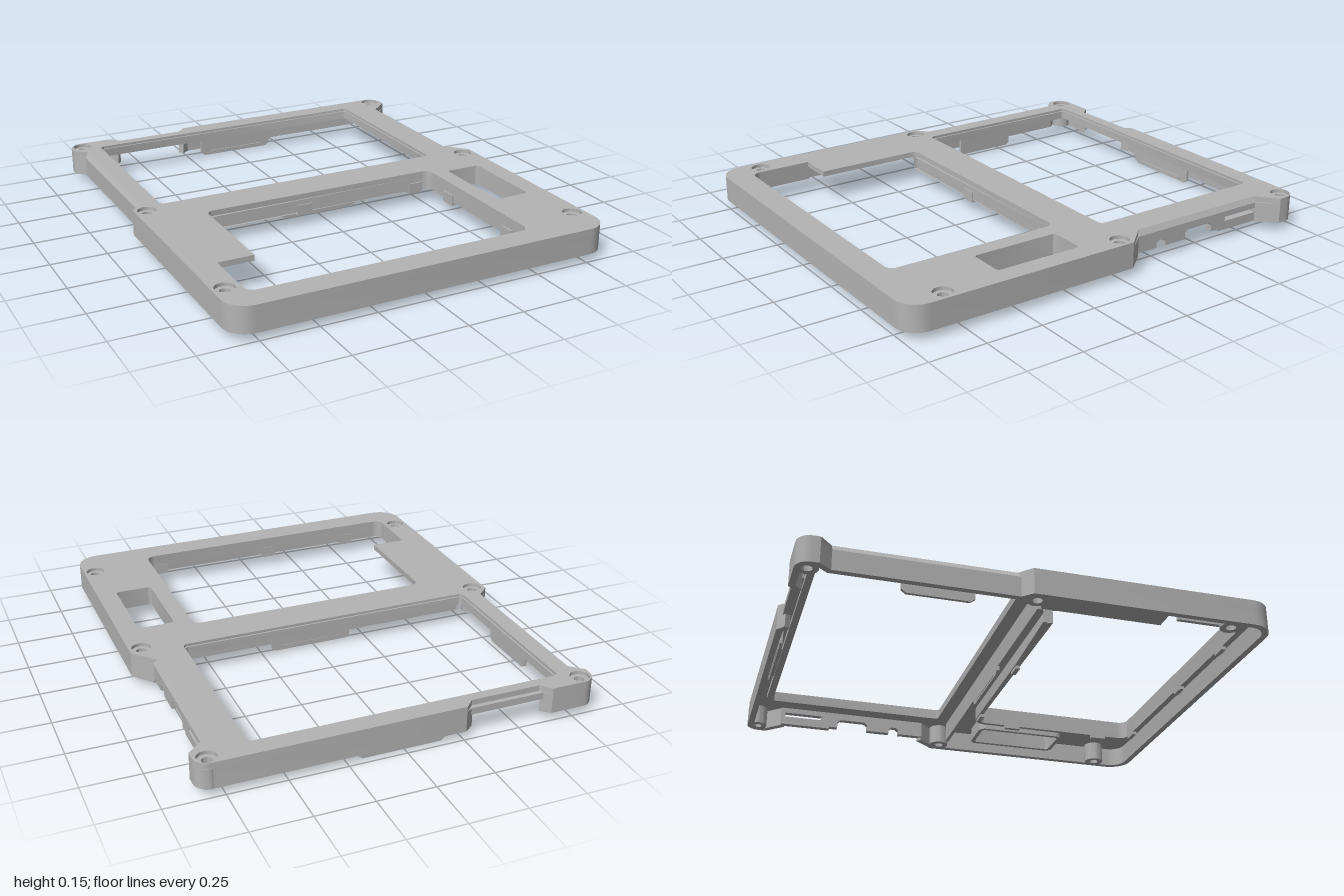
import * as THREE from 'three';
import { toCreasedNormals } from 'three/addons/utils/BufferGeometryUtils.js';

const TOP = 0.15, UNDER = 0.125, BASE = 0.035;

// Trace points [x, z, cornerRadius] as a path with rounded corners
function trace(path, pts, closed = true) {
  const n = pts.length;
  pts.forEach(([x, z, r = 0], i) => {
    const inner = closed || (i > 0 && i < n - 1);
    if (!r || !inner) {
      i ? path.lineTo(x, z) : path.moveTo(x, z);
      return;
    }
    const toward = ([px, pz], s) => {
      const l = Math.hypot(px - x, pz - z);
      return [x + (px - x) / l * s, z + (pz - z) / l * s];
    };
    const prev = pts[(i + n - 1) % n], next = pts[(i + 1) % n];
    const a = toward(prev, r), b = toward(next, r);
    i ? path.lineTo(...a) : path.moveTo(...a);
    path.bezierCurveTo(...toward(prev, r * 0.448), ...toward(next, r * 0.448), ...b);
  });
  path.closePath();
  return path;
}

// Shift a polyline sideways by d (positive = inward for clockwise outlines)
function offset(pts, d, closed) {
  const n = pts.length;
  const dir = (a, b) => {
    const l = Math.hypot(b[0] - a[0], b[1] - a[1]);
    return [(b[0] - a[0]) / l, (b[1] - a[1]) / l];
  };
  return pts.map((p, i) => {
    const hasPrev = closed || i > 0, hasNext = closed || i < n - 1;
    const prev = pts[(i + n - 1) % n], next = pts[(i + 1) % n];
    const u = hasPrev ? dir(prev, p) : dir(p, next);
    const v = hasNext ? dir(p, next) : u;
    const k = d / (1 + u[0] * v[0] + u[1] * v[1]);
    const turn = Math.sign(u[0] * v[1] - u[1] * v[0]);
    const r = p[2] ? Math.max(0, p[2] - turn * d) : 0;
    return [p[0] - (u[1] + v[1]) * k, p[1] + (u[0] + v[0]) * k, r];
  });
}

const rect = (x0, z0, x1, z1, r = 0) => [[x0, z0, r], [x1, z0, r], [x1, z1, r], [x0, z1, r]];

export function createModel() {
  const model = new THREE.Group();
  model.name = 'deviceFrame';
  const grey = new THREE.MeshStandardMaterial({ color: 0xb4b4b4 });
  grey.name = 'grey plastic';

  function add(name, geo, x = 0, y = 0, z = 0) {
    const mesh = new THREE.Mesh(geo, grey);
    mesh.name = name;
    mesh.position.set(x, y, z);
    model.add(mesh);
    return mesh;
  }
  const extrude = (shape, depth) => toCreasedNormals(
    new THREE.ExtrudeGeometry(shape, { depth, bevelEnabled: false, curveSegments: 10 }), 0.6);
  // Horizontal slab between two heights
  const slab = (name, shape, top, bottom) =>
    add(name, extrude(shape, top - bottom).rotateX(Math.PI / 2), 0, top);
  // Closed or open wall following a plan path
  function ring(name, pts, d, top, bottom) {
    const [outer, inner] = d > 0 ? [pts, offset(pts, d, true)] : [offset(pts, d, true), pts];
    const shape = trace(new THREE.Shape(), outer);
    shape.holes.push(trace(new THREE.Path(), inner));
    slab(name, shape, top, bottom);
  }
  function strip(name, pts, d, top, bottom) {
    const all = [...pts, ...offset(pts, d, false).reverse()];
    // path ends carry no radius, so the whole loop can be traced as closed
    slab(name, trace(new THREE.Shape(), all), top, bottom);
  }
  const box = (name, w, h, d, x, y, z) => add(name, new THREE.BoxGeometry(w, h, d), x, y, z);
  // Plate standing in the z-y plane, its outer face at x
  const sidePlate = (name, shape, thick, x) =>
    add(name, extrude(shape, thick).rotateY(-Math.PI / 2), x);
  const polygon = pts => new THREE.Shape(pts.map(p => new THREE.Vector2(...p)));

  // Top plate with its openings
  const outline = [
    [-0.86, -1, 0.06], [-0.65, -1], [-0.61, -0.955], [-0.3, -0.955], [-0.26, -0.995],
    [0.86, -0.995, 0.06], [0.86, -0.9], [0.77, -0.82], [0.77, -0.16], [0.86, -0.06],
    [0.86, 1, 0.1], [-0.86, 1, 0.1], [-0.86, -0.06], [-0.805, -0.11], [-0.805, -0.86], [-0.86, -0.91],
  ];
  const windowHole = rect(-0.72, -0.9, 0.625, -0.08, 0.015);
  const keyHole = [
    [-0.585, 0.1, 0.03], [0.53, 0.1, 0.04], [0.53, 0.885, 0.04],
    [-0.745, 0.885, 0.04], [-0.745, 0.6], [-0.585, 0.6],
  ];
  const slotHole = rect(0.605, 0.15, 0.77, 0.545, 0.015);
  const screws = [-0.95, -0.03, 0.815].flatMap(z => [[-0.805, z], [0.805, z]]);

  const plate = trace(new THREE.Shape(), outline);
  for (const hole of [offset(windowHole, -0.008, true), keyHole, slotHole])
    plate.holes.push(trace(new THREE.Path(), hole));
  for (const [x, z] of screws) plate.holes.push(new THREE.Path().absarc(x, z, 0.042, 0, Math.PI * 2, true));
  slab('topPlate', plate, TOP, UNDER);

  // Outer walls, left open at the back notch and the right recess
  strip('mainWall', [
    [0.785, -0.15], [0.86, -0.06], [0.86, 1, 0.1], [-0.86, 1, 0.1], [-0.86, -0.06], [-0.82, -0.1],
    [-0.82, -0.86], [-0.86, -0.91], [-0.86, -1, 0.06], [-0.65, -1], [-0.61, -0.965],
  ], 0.028, UNDER, BASE);
  strip('backWall', [
    [-0.3, -0.965], [-0.26, -0.995], [0.86, -0.995, 0.06], [0.86, -0.9], [0.785, -0.82],
  ], 0.028, UNDER, BASE);
  box('notchLedge', 0.33, 0.03, 0.04, -0.455, 0.11, -0.955);

  // Right recessed wall with port cutouts
  const portWall = polygon([
    [-0.84, 0.04], [-0.6, 0.04], [-0.6, 0.05], [-0.56, 0.05], [-0.56, 0.08], [-0.545, 0.092],
    [-0.425, 0.092], [-0.41, 0.08], [-0.41, 0.05], [-0.3, 0.05], [-0.3, 0.07], [-0.285, 0.082],
    [-0.265, 0.082], [-0.25, 0.07], [-0.25, 0.05], [-0.13, 0.05], [-0.13, UNDER], [-0.84, UNDER],
  ]);
  portWall.holes.push(trace(new THREE.Path(), rect(-0.82, 0.08, -0.64, 0.1)));
  sidePlate('portWall', portWall, 0.028, 0.785);

  // Sloped top edges of the recessed sides
  for (const [s, out, z0, z1] of [[1, 0.785, -0.83, -0.14], [-1, 0.82, -0.86, -0.1]]) {
    const pts = [[s * out, UNDER], [s * (out - 0.015), TOP], [s * (out - 0.03), UNDER]];
    add('sideBevel', extrude(polygon(pts), z1 - z0), 0, 0, z0);
  }

  // Rims around the openings
  ring('windowLip', windowHole, -0.03, 0.138, 0.1);
  ring('slotRim', slotHole, -0.018, UNDER, 0.06);
  strip('keyRim', keyHole.slice(0, 5), -0.018, UNDER, 0.065);
  box('crossWall', 1.48, UNDER - BASE, 0.016, 0, (UNDER + BASE) / 2, 0);

  // Small clips inside the front opening
  for (const x of [-0.115, 0.46]) {
    box('backClip', 0.07, 0.05, 0.02, x, 0.075, 0.096);
    box('frontClip', 0.07, 0.05, 0.02, x, 0.075, 0.893);
  }
  box('frontClip', 0.07, 0.05, 0.02, -0.55, 0.075, 0.893);
  for (const z of [0.28, 0.735]) box('sideClip', 0.02, 0.05, 0.075, 0.533, 0.075, z);

  // Hanging latch tabs
  const tab = (a, b) => polygon([[a, 0.09], [a, 0.015], [a + 0.02, 0], [b - 0.02, 0], [b, 0.015], [b, 0.09]]);
  for (const z of [-0.968, -0.012]) {
    add('latchTab', extrude(tab(-0.18, 0.2), 0.012), 0, 0, z);
    box('latchLip', 0.28, 0.012, 0.02, 0.01, 0.016, z + 0.008);
  }
  sidePlate('sideLatchTab', tab(-0.58, -0.28), 0.014, -0.772);

  // Screw bosses: countersunk, the middle pair closed
  const bossProfile = [[0.042, TOP], [0.042, 0.135], [0.022, 0.135], [0.022, BASE],
    [0.046, BASE], [0.046, UNDER], [0.042, UNDER], [0.042, TOP]]
    .map(p => new THREE.Vector2(...p)).reverse();
  const boss = toCreasedNormals(new THREE.LatheGeometry(bossProfile.reverse(), 28), 0.6);
  const bossMaterial = grey;
  bossMaterial.side = THREE.DoubleSide;
  for (const [x, z] of screws) {
    add('screwBoss', boss, x, 0, z);
    if (z === -0.03) add('screwFloor', new THREE.CylinderGeometry(0.023, 0.023, 0.02, 20), x, 0.11, z);
  }
  return model;
}
